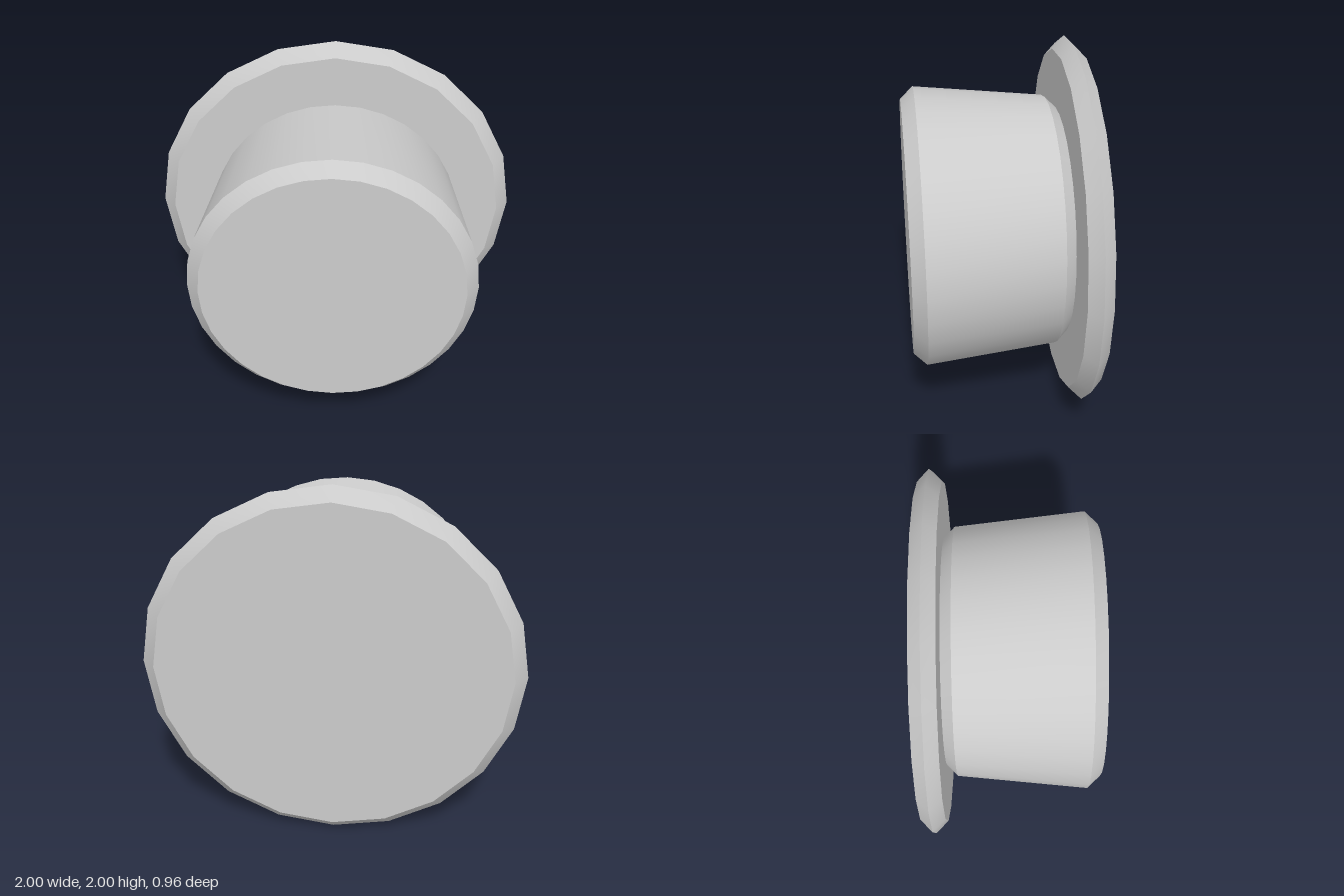
import * as THREE from 'three';
import { toCreasedNormals } from 'three/addons/utils/BufferGeometryUtils.js';

const material = new THREE.MeshStandardMaterial({ color: 0xcccccc });

// Turned solid along z; profile is [radius, z] from back to front
function turned(name, profile, sides) {
  const points = profile.map(([r, z]) => new THREE.Vector2(r, z));
  const lathe = new THREE.LatheGeometry(points, sides).rotateX(Math.PI / 2);
  const mesh = new THREE.Mesh(toCreasedNormals(lathe, Math.PI / 6), material);
  mesh.name = name;
  mesh.position.y = 1;
  return mesh;
}

export function createModel() {
  const model = new THREE.Group();
  model.name = 'flangedPlug';

  // Thin disc with a V-shaped rim
  model.add(turned('flange', [
    [0, -0.48], [0.932, -0.48], [1, -0.415], [0.932, -0.348], [0, -0.348],
  ], 20));

  // Body widening towards the front, chamfered at both ends
  model.add(turned('body', [
    [0, -0.36], [0.615, -0.36], [0.685, -0.29], [0.76, 0.41], [0.695, 0.48], [0, 0.48],
  ], 32));

  return model;
}
